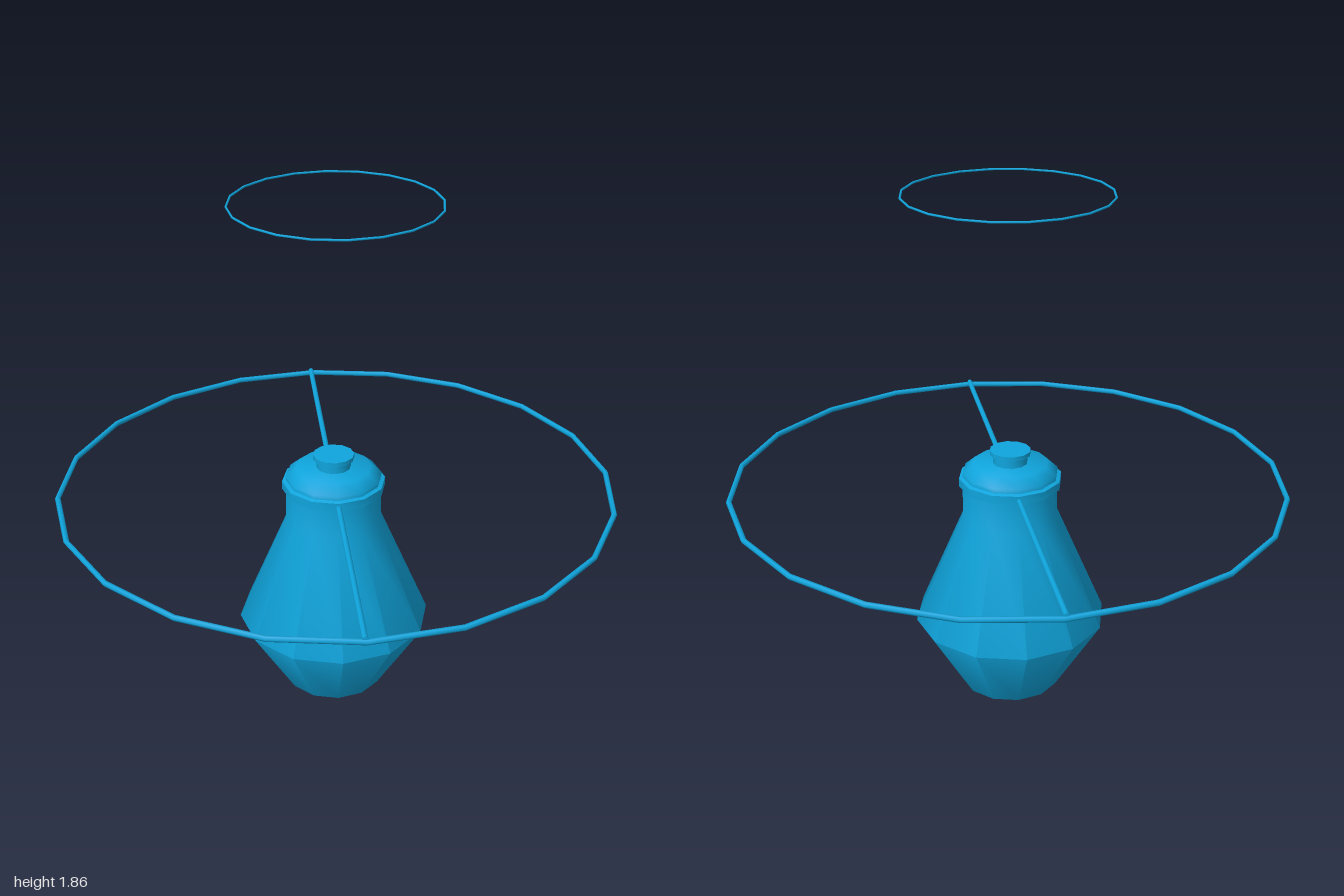
import * as THREE from 'three';
import { toCreasedNormals } from 'three/addons/utils/BufferGeometryUtils.js';

export function createModel() {
  const model = new THREE.Group();
  model.name = 'tableLamp';
  const blue = new THREE.MeshStandardMaterial({ color: 0x0fa5dd, side: THREE.DoubleSide });
  const axisX = -0.008; // the base sits slightly off the rings' centre

  function add(name, geometry, x, y, z) {
    const mesh = new THREE.Mesh(geometry, blue);
    mesh.name = name;
    mesh.position.set(x, y, z);
    model.add(mesh);
    return mesh;
  }

  // Twelve-sided turned part from [radius, height] pairs
  function turned(name, profile) {
    const points = profile.map(([r, y]) => new THREE.Vector2(r, y));
    const lathe = new THREE.LatheGeometry(points, 12);
    return add(name, toCreasedNormals(lathe, 1.0), axisX, 0, 0);
  }

  // Horizontal twenty-sided wire ring
  function wireRing(name, radius, wire, y) {
    const ring = new THREE.TorusGeometry(radius, wire, 6, 20);
    ring.rotateX(Math.PI / 2);
    return add(name, ring, 0, y, 0);
  }

  // Pot-shaped base with straight neck
  turned('base', [[0, 0], [0.18, 0], [0.35, 0.275], [0.173, 0.69], [0.173, 0.84], [0, 0.84]]);

  // Collar around the top of the neck
  turned('collar', [[0.172, 0.8], [0.186, 0.805], [0.186, 0.835], [0.172, 0.84]]);

  // Bevelled lid and its knob
  turned('lid', [[0.172, 0.835], [0.172, 0.855], [0.135, 0.887], [0, 0.887]]);
  turned('knob', [[0.062, 0.885], [0.062, 0.92], [0.074, 0.92], [0.074, 0.936], [0, 0.936]]);

  // Shade frame: wide lower ring, fine upper ring
  wireRing('lowerShadeRing', 0.99, 0.01, 0.807);
  wireRing('upperShadeRing', 0.361, 0.004, 1.86);

  // Two spokes from the collar to the lower ring
  for (const side of [1, -1]) {
    const spoke = new THREE.CylinderGeometry(0.01, 0.01, 0.82, 8);
    spoke.rotateX(Math.PI / 2);
    add(side > 0 ? 'frontSpoke' : 'backSpoke', spoke, axisX, 0.817, side * 0.58);
  }
  return model;
}
